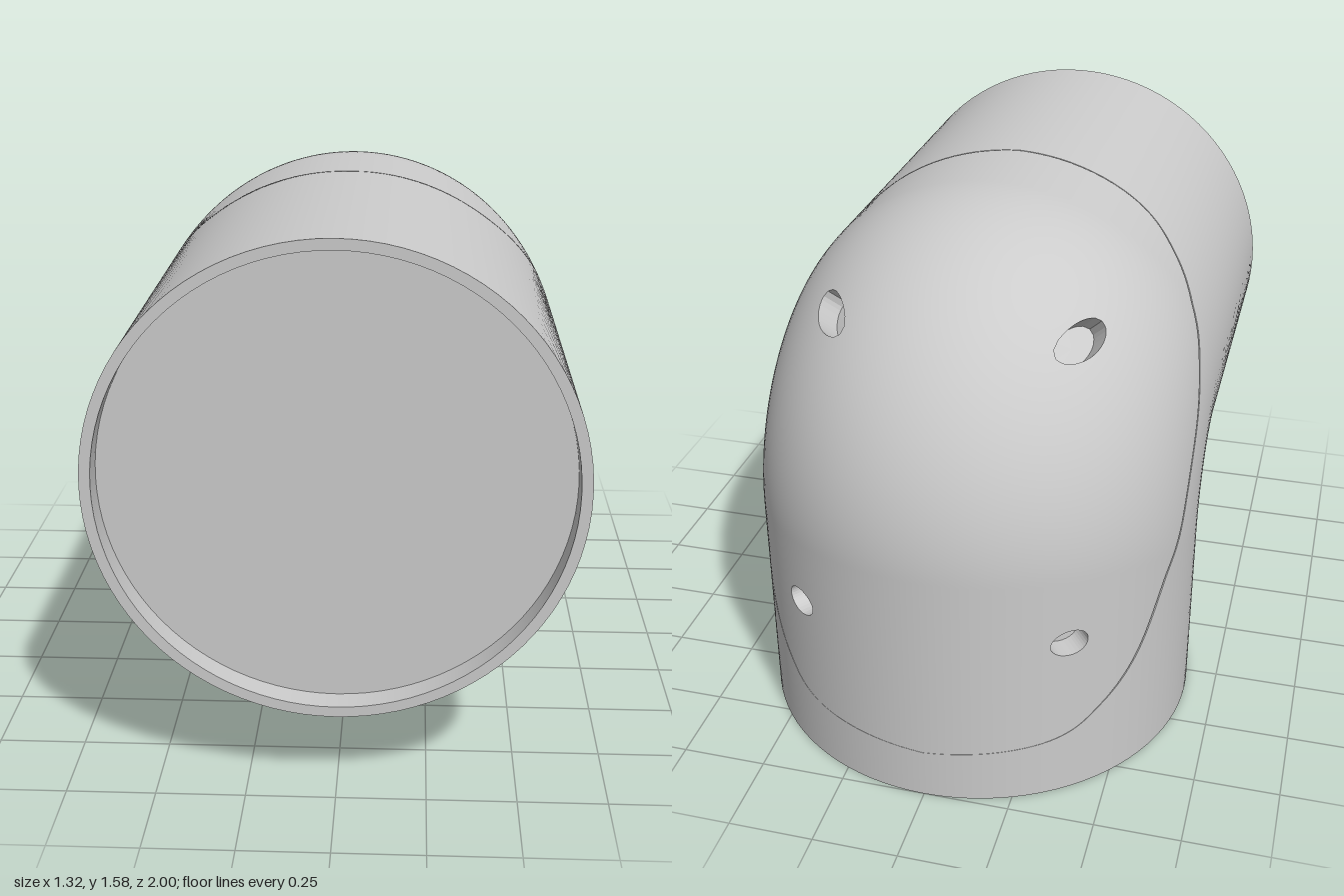
import * as THREE from 'three';

const R = 0.66, AXIS_Z = -0.34, AXIS_Y = 0.915;
const V = (x, y) => new THREE.Vector2(x, y);

// Rounded-L path for each angle round the pipe: tight inside, wide outside
function bend(s) {
  const r = 0.06 + 0.77 * Math.pow(Math.max(0, (s + 1) / 2), 1.5);
  return { r, zc: AXIS_Z - R * s + r, yc: AXIS_Y + R * s - r };
}

// Elbow skin: phi is the angle from the top/back, t runs from front end to bottom end
function skin(phi, t) {
  const { r, zc, yc } = bend(Math.cos(phi));
  const x = R * Math.sin(phi);
  if (t < 1 / 3) return new THREE.Vector3(x, yc + r, 1 + (zc - 1) * 3 * t);
  if (t > 2 / 3) return new THREE.Vector3(x, yc * (3 - 3 * t), zc - r);
  const a = (3 * t - 1) * Math.PI / 2;
  return new THREE.Vector3(x, yc + r * Math.cos(a), zc - r * Math.sin(a));
}

function skinNormal(phi, t) {
  const h = 0.001;
  const a = skin(phi + h, t).sub(skin(phi - h, t));
  const b = skin(phi, t + h).sub(skin(phi, t - h));
  return a.cross(b).normalize();
}

// Side-on position (z, y) back to (phi, t)
function locate(z, y) {
  let lo = -1, hi = 1;
  for (let k = 0; k < 40; k++) {
    const s = (lo + hi) / 2, { r, zc, yc } = bend(s);
    const out = z > zc ? y - yc - r : y < yc ? zc - r - z : Math.hypot(z - zc, y - yc) - r;
    if (out > 0) lo = s; else hi = s;
  }
  const { zc, yc } = bend(hi);
  let t;
  if (z > zc) t = (1 - z) / (1 - zc) / 3;
  else if (y < yc) t = 1 - y / yc / 3;
  else t = (1 + Math.atan2(zc - z, y - yc) / (Math.PI / 2)) / 3;
  return V(hi > 0.99999 ? 0 : Math.acos(hi), t);
}

// Smooth skin from rows of (phi, t) nodes, leaving out skipped cells
function skinGeometry(rows, side, skip = () => false) {
  const pos = [], nor = [], idx = [], w = rows[0].length;
  const pts = [], nrm = [];
  for (const row of rows) for (const q of row) {
    const p = skin(q.x, q.y), n = skinNormal(q.x, q.y);
    p.x *= side; n.x *= side;
    pts.push(p); nrm.push(n);
    pos.push(p.x, p.y, p.z); nor.push(n.x, n.y, n.z);
  }
  const tri = (a, b, c) => {
    const f = pts[b].clone().sub(pts[a]).cross(pts[c].clone().sub(pts[a]));
    if (f.lengthSq() < 1e-16) return;
    const n = nrm[a].clone().add(nrm[b]).add(nrm[c]);
    if (f.dot(n) > 0) idx.push(a, b, c); else idx.push(a, c, b);
  };
  for (let i = 0; i + 1 < rows.length; i++) for (let j = 0; j + 1 < w; j++) {
    if (skip(i, j)) continue;
    const a = i * w + j;
    tri(a, a + 1, a + w + 1);
    tri(a, a + w + 1, a + w);
  }
  const g = new THREE.BufferGeometry();
  g.setAttribute('position', new THREE.Float32BufferAttribute(pos, 3));
  g.setAttribute('normal', new THREE.Float32BufferAttribute(nor, 3));
  g.setIndex(idx);
  return g;
}

// Hard-edged strips between rings of points
function wallGeometry(rings, side) {
  const pos = [];
  const add = (...ps) => ps.forEach(p => pos.push(p.x * side, p.y, p.z));
  for (let i = 0; i + 1 < rings.length; i++) for (let j = 0; j + 1 < rings[i].length; j++) {
    const [a, b, c, d] = [rings[i][j], rings[i][j + 1], rings[i + 1][j + 1], rings[i + 1][j]];
    add(a, b, c, a, c, d);
  }
  const g = new THREE.BufferGeometry();
  g.setAttribute('position', new THREE.Float32BufferAttribute(pos, 3));
  g.computeVertexNormals();
  return g;
}

// Cover seam, side-on (z, y)
const SEAM = [[0.11, 1.59], [0.08, 1.46], [0, 1.34], [-0.1, 1.24], [-0.2, 1.13], [-0.34, 0.96],
  [-0.5, 0.73], [-0.6, 0.58], [-0.7, 0.39], [-0.8, 0.27], [-0.9, 0.19], [-1.01, 0.155]];

// Screw holes, side-on: centre, half sizes, tilt
const HOLES = [
  { name: 'upperScrewHole', z: -0.605, y: 1.317, a: 0.085, b: 0.03, tilt: 0.35 },
  { name: 'lowerScrewHole', z: -0.868, y: 0.522, a: 0.034, b: 0.041, tilt: 0 },
];

export function createModel() {
  const group = new THREE.Group();
  const grey = new THREE.MeshStandardMaterial({ color: 0xcccccc });
  const thin = new THREE.MeshStandardMaterial({ color: 0xcccccc, side: THREE.DoubleSide });
  const add = (name, geo, mat = grey) => {
    const m = new THREE.Mesh(geo, mat);
    m.name = name;
    group.add(m);
    return m;
  };

  const N = 144, COLS = 28, RINGS = 40, GAP = 0.005;
  const seamCurve = new THREE.SplineCurve(SEAM.map(([z, y]) => locate(z, y)));
  const seam = [], edge = [];
  for (let i = 0; i <= N; i++) {
    const f = i / N, p = seamCurve.getPoint(f);
    if (i === 0 || i === N) p.x = 0;
    seam.push(p);
    edge.push(i <= N / 3 ? V(3 * f * Math.PI, 0)
      : i <= 2 * N / 3 ? V(Math.PI, 3 * f - 1) : V((3 - 3 * f) * Math.PI, 1));
  }
  const lip = seam.map((p, i) => p.clone().lerp(edge[i], GAP));
  const body = lip.map((p, i) => Array.from({ length: RINGS + 1 }, (_, k) => p.clone().lerp(edge[i], k / RINGS)));
  const cover = seam.map(p => Array.from({ length: COLS + 1 }, (_, k) => V(p.x * k / COLS, p.y)));

  // Block of cover cells that each hole replaces, and the patch round its rim
  const holes = HOLES.map(h => {
    const c = Math.cos(h.tilt), s = Math.sin(h.tilt);
    const rim = ang => {
      const u = h.a * Math.cos(ang), v = h.b * Math.sin(ang);
      return locate(h.z + u * c - v * s, h.y + u * s + v * c);
    };
    const loop = Array.from({ length: 48 }, (_, k) => rim(k * Math.PI / 24));
    const box = new THREE.Box2().setFromPoints(loop).expandByVector(V(0.02, 0.008));
    let i0 = N, i1 = 0, j0 = COLS, j1 = 0;
    for (let i = 0; i < N; i++) for (let j = 0; j < COLS; j++) {
      const cell = new THREE.Box2().setFromPoints([cover[i][j], cover[i + 1][j], cover[i][j + 1], cover[i + 1][j + 1]]);
      if (!cell.intersectsBox(box)) continue;
      i0 = Math.min(i0, i); i1 = Math.max(i1, i + 1);
      j0 = Math.min(j0, j); j1 = Math.max(j1, j + 1);
    }
    const outer = [];
    for (let j = j0; j < j1; j++) outer.push(cover[i0][j]);
    for (let i = i0; i < i1; i++) outer.push(cover[i][j1]);
    for (let j = j1; j > j0; j--) outer.push(cover[i1][j]);
    for (let i = i1; i >= i0; i--) outer.push(cover[i][j0]);
    const inner = outer.map(q => {
      const p = skin(q.x, q.y), dz = p.z - h.z, dy = p.y - h.y;
      return rim(Math.atan2((dy * c - dz * s) / h.b, (dz * c + dy * s) / h.a));
    });
    const patch = [0, 0.25, 0.5, 0.75, 1].map(f => outer.map((q, k) => q.clone().lerp(inner[k], f)));
    // Blind bore with a flat floor
    const mid = locate(h.z, h.y);
    const into = skinNormal(mid.x, mid.y).multiplyScalar(-0.07);
    const top = inner.map(q => skin(q.x, q.y));
    const floor = top.map(p => p.clone().add(into));
    const centre = skin(mid.x, mid.y).add(into);
    return { name: h.name, i0, i1, j0, j1, patch, bore: [top, floor, floor.map(() => centre)] };
  });
  const inHole = (i, j) => holes.some(h => i >= h.i0 && i < h.i1 && j >= h.j0 && j < h.j1);

  // Seam groove cross-section
  const sunk = q => skin(q.x, q.y).addScaledVector(skinNormal(q.x, q.y), -0.015);
  const top = q => skin(q.x, q.y);
  const groove = [seam.map(top), seam.map(sunk), lip.map(sunk), lip.map(top)];

  for (const [label, side] of [['left', 1], ['right', -1]]) {
    add(label + 'ElbowBody', skinGeometry(body, side));
    add(label + 'BackCover', skinGeometry(cover, side, inHole));
    add(label + 'SeamGroove', wallGeometry(groove, side), thin);
    for (const h of holes) {
      add(`${label}_${h.name}Rim`, skinGeometry(h.patch, side));
      add(`${label}_${h.name}`, wallGeometry(h.bore, side), thin);
    }
  }

  // Pipe ends: narrow rim, short inner wall and recessed disc, facing local +z
  const pipeEnd = (name, depth) => {
    const end = new THREE.Group();
    end.name = name;
    const part = (n, geo, mat, z) => {
      const m = new THREE.Mesh(geo, mat);
      m.name = n;
      m.position.z = z;
      end.add(m);
    };
    part('rim', new THREE.RingGeometry(0.63, R, 96), grey, 0);
    part('innerWall', new THREE.CylinderGeometry(0.63, 0.63, depth, 96, 1, true).rotateX(Math.PI / 2), thin, -depth / 2);
    part('endDisc', new THREE.CircleGeometry(0.63, 96), grey, -depth);
    group.add(end);
    return end;
  };
  pipeEnd('frontEnd', 0.07).position.set(0, AXIS_Y, 1);
  const bottom = pipeEnd('bottomEnd', 0.02);
  bottom.position.set(0, 0, AXIS_Z);
  bottom.rotation.x = Math.PI / 2;
  return group;
}
